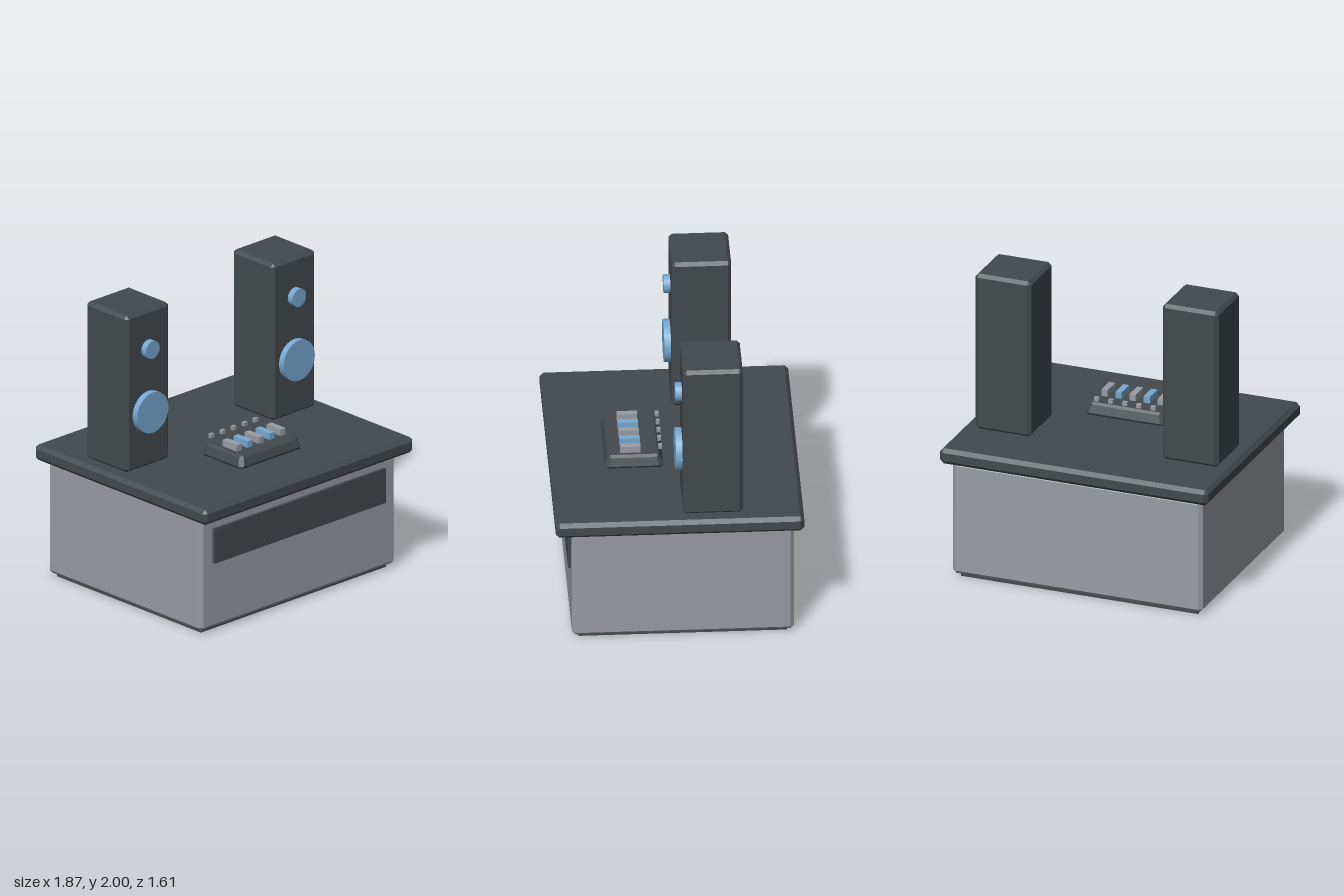
import * as THREE from 'three';

const mat = (name, color) => new THREE.MeshStandardMaterial({ name, color });

// Stack of rectangular loops with clipped corners: each is [y, halfX, halfZ, cornerClip]
function loopSolid(loops) {
  const rings = loops.map(([y, a, b, c]) => [
    [a, b - c], [a - c, b], [-a + c, b], [-a, b - c],
    [-a, -b + c], [-a + c, -b], [a - c, -b], [a, -b + c],
  ].map(([x, z]) => new THREE.Vector3(x, y, z)));
  const pos = [];
  const tri = (p, q, r) => {
    const n = q.clone().sub(p).cross(r.clone().sub(p));
    if (n.length() > 1e-9) for (const v of [p, q, r]) pos.push(v.x, v.y, v.z);
  };
  for (let i = 0; i < rings.length - 1; i++) {
    for (let k = 0; k < 8; k++) {
      const m = (k + 1) % 8, lo = rings[i], hi = rings[i + 1];
      tri(lo[k], hi[m], lo[m]);
      tri(lo[k], hi[k], hi[m]);
    }
  }
  const cap = (ring, up) => {
    for (let k = 1; k < 7; k++) {
      if (up) tri(ring[0], ring[k + 1], ring[k]);
      else tri(ring[0], ring[k], ring[k + 1]);
    }
  };
  cap(rings[0], false);
  cap(rings[rings.length - 1], true);
  const g = new THREE.BufferGeometry();
  g.setAttribute('position', new THREE.Float32BufferAttribute(pos, 3));
  g.computeVertexNormals();
  return g;
}

// Box with every edge chamfered by c
function chamferBox(w, h, d, c) {
  const a = w / 2, b = d / 2, y = h / 2;
  return loopSolid([
    [-y, a - c, b - c, 0], [-y + c, a, b, c],
    [y - c, a, b, c], [y, a - c, b - c, 0],
  ]);
}

export function createModel() {
  const model = new THREE.Group();
  model.name = 'mixingBooth';
  const dark = mat('charcoal', 0x43494d);
  const grey = mat('grey', 0x9a9ca4);
  const blue = mat('blue', 0x76a8d2);

  const add = (parent, name, geo, material, x, y, z) => {
    const m = new THREE.Mesh(geo, material);
    m.name = name;
    m.position.set(x, y, z);
    parent.add(m);
    return m;
  };

  // Cabinet
  add(model, 'plinth', new THREE.BoxGeometry(1.65, 0.05, 1.345), dark, 0, 0.025, -0.0225);
  add(model, 'cabinet', chamferBox(1.74, 0.785, 1.435, 0.025), grey, 0, 0.4175, -0.0225);
  add(model, 'frontPanel', new THREE.BoxGeometry(1.525, 0.24, 0.03), dark, 0, 0.6, 0.7);
  add(model, 'countertop', chamferBox(1.87, 0.107, 1.605, 0.025), dark, 0, 0.862, 0);

  // Pair of tower speakers
  for (const s of [-1, 1]) {
    const tower = new THREE.Group();
    tower.name = s > 0 ? 'leftSpeaker' : 'rightSpeaker';
    tower.position.set(s * 0.652, 0, 0);
    model.add(tower);
    add(tower, 'speakerBody', chamferBox(0.39, 1.09, 0.386, 0.022), dark, 0, 1.455, -0.217);
    for (const [name, r, y, sides] of [['woofer', 0.14, 1.297, 24], ['tweeter', 0.062, 1.732, 16]]) {
      const cone = new THREE.CylinderGeometry(r, r, 0.05, sides);
      cone.rotateX(Math.PI / 2);
      add(tower, name, cone, blue, 0, y, -0.006);
    }
  }

  // Mixing console with tapered sides
  const mixer = new THREE.Group();
  mixer.name = 'mixer';
  mixer.position.set(0, 0, 0.26);
  model.add(mixer);
  add(mixer, 'mixerBody', loopSolid([
    [0.91, 0.262, 0.175, 0], [0.932, 0.275, 0.188, 0.025],
    [0.985, 0.255, 0.17, 0.022], [1.0, 0.237, 0.155, 0],
  ]), dark, 0, 0, 0);

  // Faders and the row of small knobs behind them
  for (let i = -2; i <= 2; i++) {
    const x = i * 0.098;
    add(mixer, 'fader', new THREE.BoxGeometry(0.043, 0.05, 0.132), i % 2 ? blue : grey, x, 1.02, 0.021);
    add(mixer, 'knob', new THREE.BoxGeometry(0.032, 0.026, 0.024), grey, x, 1.032, -0.172);
  }
  return model;
}
